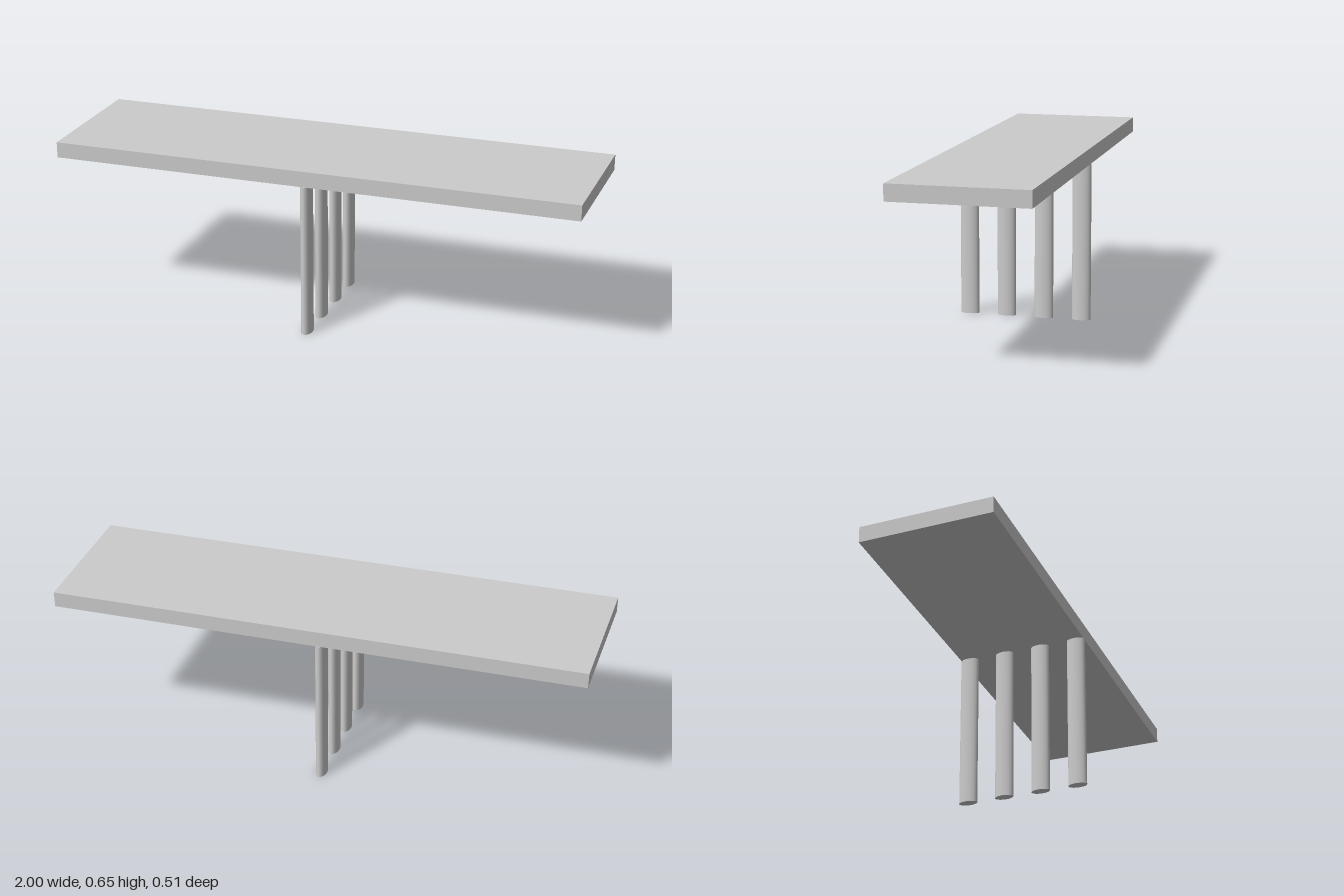
import * as THREE from 'three';

const material = new THREE.MeshStandardMaterial({ color: 0xcccccc });

// Plan skew: the ends of the slab and the row of columns lean sideways along z
const skew = new THREE.Matrix4().set(
  1, 0, -0.06, 0,
  0, 1, 0, 0,
  0, 0, 1, 0,
  0, 0, 0, 1
);

function addPart(group, name, geometry) {
  geometry.applyMatrix4(skew);
  const mesh = new THREE.Mesh(geometry, material);
  mesh.name = name;
  group.add(mesh);
}

export function createModel() {
  const model = new THREE.Group();
  model.name = 'bridgePier';

  // Deck slab
  const deckBottom = 0.592, deckTop = 0.652;
  const deck = new THREE.BoxGeometry(1.97, deckTop - deckBottom, 0.502);
  deck.translate(0, (deckTop + deckBottom) / 2, 0);
  addPart(model, 'deck', deck);

  // Row of four oval columns under the middle of the deck
  const columns = new THREE.Group();
  columns.name = 'columns';
  const spacing = 0.1457;
  for (let i = 0; i < 4; i++) {
    const column = new THREE.CylinderGeometry(1, 1, deckBottom, 40);
    column.scale(0.0205, 1, 0.036);
    column.translate(-0.02, deckBottom / 2, (1.5 - i) * spacing);
    addPart(columns, `column${i + 1}`, column);
  }
  model.add(columns);

  return model;
}
